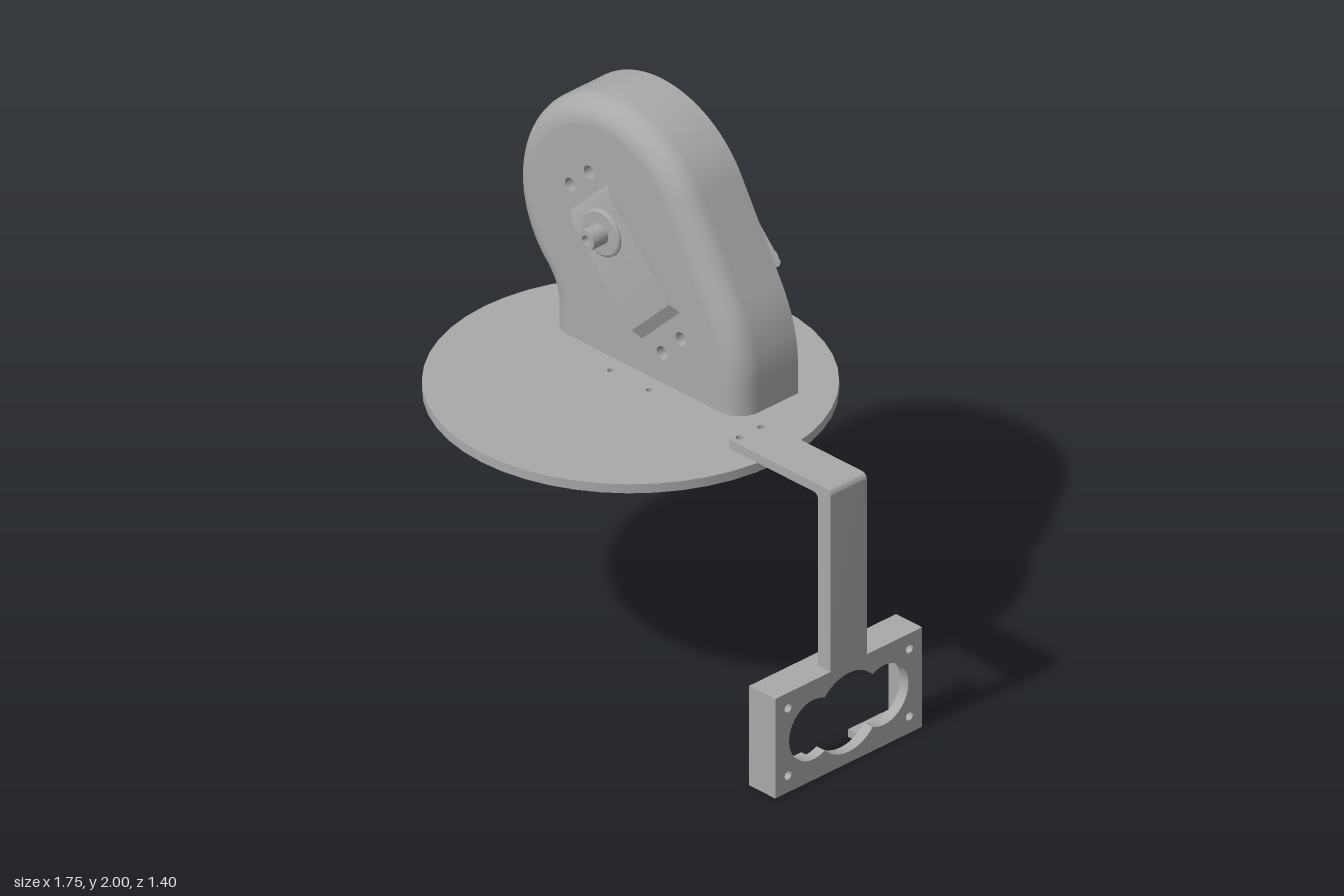
import * as THREE from 'three';
import { toCreasedNormals } from 'three/addons/utils/BufferGeometryUtils.js';

const grey = new THREE.MeshStandardMaterial({ color: 0xa9a9a9, side: THREE.DoubleSide });
grey.name = 'grey plastic';

function add(parent, name, geometry) {
  const mesh = new THREE.Mesh(toCreasedNormals(geometry, 0.5), grey);
  mesh.name = name;
  parent.add(mesh);
  return mesh;
}

function circle(x, y, r) {
  return new THREE.Path().absarc(x, y, r, 0, Math.PI * 2, false);
}

function extrude(shape, depth, curveSegments = 12) {
  return new THREE.ExtrudeGeometry(shape, { depth, bevelEnabled: false, curveSegments });
}

function polygon(points) {
  return new THREE.Shape(points.map(([x, y]) => new THREE.Vector2(x, y)));
}

function box(x0, x1, y0, y1, z0, z1) {
  return new THREE.BoxGeometry(x1 - x0, y1 - y0, z1 - z0)
    .translate((x0 + x1) / 2, (y0 + y1) / 2, (z0 + z1) / 2);
}

// Round base plate with screw holes
function basePlate(root) {
  const disc = new THREE.Shape().absarc(-0.175, 0, 0.7, 0, Math.PI * 2, false);
  for (const [x, y, r] of [[-0.27, 0, 0.012], [-0.085, 0, 0.012], [0.4, 0.05, 0.014], [0.4, -0.05, 0.014]]) {
    disc.holes.push(circle(x, y, r));
  }
  add(root, 'basePlate', extrude(disc, 0.035, 24).rotateX(-Math.PI / 2).translate(0, 1.015, 0));
}

// Hollow housing, open at the back, with a rounded front edge
function housing(root) {
  const path = new THREE.Path();
  path.moveTo(-0.635, 1.05);
  path.lineTo(-0.635, 1.15);
  path.quadraticCurveTo(-0.635, 1.2, -0.69, 1.26);
  path.absarc(-0.37, 1.56, 0.44, Math.atan2(-0.3, -0.32), Math.PI / 6, true);
  path.lineTo(0.2, 1.45);
  path.quadraticCurveTo(0.28, 1.31, 0.28, 1.17);
  path.lineTo(0.28, 1.05);
  const outline = path.getSpacedPoints(140);
  const last = outline.length - 1;
  const inset = (d) => outline.map((p, i) => {
    const t = outline[Math.min(i + 1, last)].clone().sub(outline[Math.max(i - 1, 0)]).normalize();
    return new THREE.Vector2(p.x + t.y * d, p.y - t.x * d);
  });

  // wall section as [inset, z], from the inside round to the front face
  const section = [[0.09, -0.14], [0.08, -0.14], [0.08, -0.34], [0, -0.34]];
  for (let k = 0; k <= 8; k++) {
    const a = k / 8 * Math.PI / 2;
    section.push([0.09 * (1 - Math.cos(a)), -0.155 + 0.09 * Math.sin(a)]);
  }
  const position = [], index = [], n = outline.length;
  section.forEach(([d, z], j) => {
    inset(d).forEach((p, i) => {
      position.push(p.x, p.y, z);
      if (j && i) {
        const b = j * n + i, a = b - n;
        index.push(a - 1, b - 1, a, a, b - 1, b);
      }
    });
  });
  const wall = new THREE.BufferGeometry();
  wall.setAttribute('position', new THREE.Float32BufferAttribute(position, 3));
  wall.setIndex(index);
  add(root, 'housingWall', wall);

  const panel = new THREE.Shape(inset(0.09));
  for (const [x, y] of [[-0.44, 1.72], [-0.53, 1.635], [0, 1.255], [-0.09, 1.165]]) {
    panel.holes.push(circle(x, y, 0.025));
  }
  add(root, 'housingPanel', extrude(panel, 0.075).translate(0, 0, -0.14));
}

// Motor set diagonally through the housing panel
function motor(root) {
  const group = new THREE.Group();
  group.name = 'motor';
  group.position.set(-0.265, 1.445, 0);
  group.rotation.z = -0.806;
  root.add(group);

  const profile = polygon([[-0.25, -0.53], [-0.24, -0.543], [0.24, -0.543], [0.25, -0.53],
    [0.25, -0.068], [0.205, -0.042], [-0.2, -0.042], [-0.25, -0.06]]);
  add(group, 'motorBody', extrude(profile, 0.25).rotateX(Math.PI / 2).translate(0, 0.125, 0));

  const shaft = [[0.09, -0.06], [0.088, -0.035], [0.08, -0.03], [0.038, -0.03], [0.038, 0.038],
    [0.018, 0.038], [0.018, 0], [0, 0]].map(([x, y]) => new THREE.Vector2(x, y));
  add(group, 'outputShaft', new THREE.LatheGeometry(shaft, 24).rotateX(Math.PI / 2).translate(-0.123, 0, 0));

  for (const x of [-0.21, 0.21]) {
    for (const y of [-0.09, 0.09]) {
      add(group, 'motorScrew', new THREE.CylinderGeometry(0.025, 0.025, 0.04, 16)
        .rotateX(Math.PI / 2).translate(x, y, -0.534));
    }
  }
}

// Angled arm hanging from the edge of the base plate
function arm(root) {
  const tongue = new THREE.Shape();
  tongue.moveTo(0.6, -0.085);
  tongue.lineTo(0.6, 0.085);
  tongue.lineTo(0.405, 0.085);
  tongue.quadraticCurveTo(0.365, 0.085, 0.365, 0.045);
  tongue.lineTo(0.365, -0.045);
  tongue.quadraticCurveTo(0.365, -0.085, 0.405, -0.085);
  tongue.holes.push(circle(0.4, 0.05, 0.014), circle(0.4, -0.05, 0.014));
  add(root, 'armTongue', extrude(tongue, 0.035).rotateX(-Math.PI / 2).translate(0, 1.05, 0));

  const bend = new THREE.Shape();
  bend.moveTo(0.6, 1.05);
  bend.lineTo(0.785, 1.05);
  bend.quadraticCurveTo(0.81, 1.05, 0.81, 1.025);
  bend.lineTo(0.81, 0.38);
  bend.lineTo(0.87, 0.38);
  bend.lineTo(0.87, 1.06);
  bend.quadraticCurveTo(0.87, 1.085, 0.845, 1.085);
  bend.lineTo(0.6, 1.085);
  add(root, 'armBend', extrude(bend, 0.17).translate(0, 0, -0.085));
}

// Shallow box holder with a three-lobed opening
function holder(root) {
  const cy = 0.195, p = Math.PI;
  const face = polygon([[-0.345, 0], [0.345, 0], [0.345, 0.385], [-0.345, 0.385]]);
  const opening = new THREE.Path();
  opening.absarc(0.165, cy, 0.115, -2.047, 2.047, false);
  opening.absarc(0, cy, 0.152, 0.737, p - 0.737, false);
  opening.absarc(-0.165, cy, 0.115, p - 2.047, p + 2.047, false);
  opening.absarc(0, cy, 0.152, p + 0.737, 2 * p - 0.737, false);
  face.holes.push(opening);
  for (const x of [-0.285, 0.285]) {
    for (const y of [0.065, 0.325]) face.holes.push(circle(x, y, 0.016));
  }
  add(root, 'holderFace', extrude(face, 0.04, 20).rotateY(p / 2).translate(0.83, 0, 0));

  add(root, 'holderTop', box(0.745, 0.83, 0.355, 0.385, -0.345, 0.345));
  add(root, 'holderSide', box(0.745, 0.83, 0, 0.385, -0.345, -0.31));
  add(root, 'holderSide', box(0.745, 0.83, 0, 0.385, 0.31, 0.345));
  // bottom wall with a cable gap
  add(root, 'holderBottom', box(0.745, 0.83, 0, 0.03, -0.345, -0.12));
  add(root, 'holderBottom', box(0.745, 0.83, 0, 0.03, 0.1, 0.345));
}

export function createModel() {
  const root = new THREE.Group();
  root.name = 'motorStand';
  for (const build of [basePlate, housing, motor, arm, holder]) build(root);
  return root;
}
